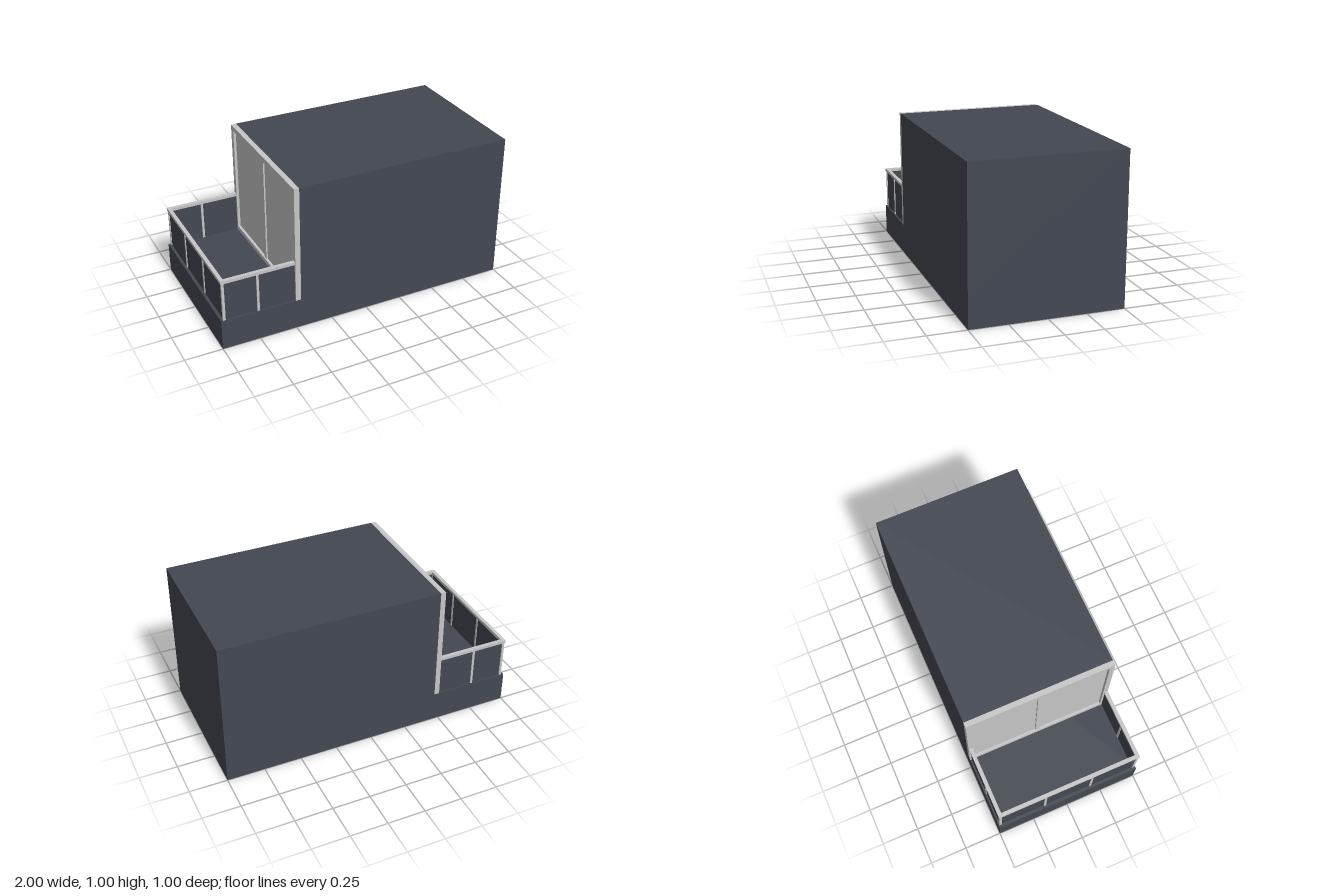
import * as THREE from 'three';

export function createModel() {
  const model = new THREE.Group();
  model.name = 'houseWithBalcony';
  const dark = new THREE.MeshStandardMaterial({ name: 'darkSlate', color: 0x434851 });
  const light = new THREE.MeshStandardMaterial({ name: 'lightGrey', color: 0xc6c6c6 });

  // Box given by its lower and upper limits on each axis
  function box(parent, name, material, [x0, x1], [y0, y1], [z0, z1]) {
    const mesh = new THREE.Mesh(new THREE.BoxGeometry(x1 - x0, y1 - y0, z1 - z0), material);
    mesh.position.set((x0 + x1) / 2, (y0 + y1) / 2, (z0 + z1) / 2);
    mesh.name = name;
    parent.add(mesh);
  }
  function group(name) {
    const g = new THREE.Group();
    g.name = name;
    model.add(g);
    return g;
  }

  const floor = 0.205;
  // Base slab and main block
  box(model, 'baseSlab', dark, [-1, 1], [0, floor], [-0.5, 0.5]);
  box(model, 'mainBlock', dark, [-0.465, 1], [floor, 1], [-0.5, 0.5]);

  // Door wall: outer frame, two recessed panels and a centre bar
  const door = group('doorWall');
  const depth = [-0.5, -0.465];
  for (const s of [-1, 1]) {
    const side = s < 0 ? [-0.5, -0.465] : [0.465, 0.5];
    box(door, 'doorPost', light, depth, [floor, 1], side);
    const panel = s < 0 ? [-0.465, -0.015] : [0.015, 0.465];
    box(door, 'doorPanel', light, [-0.482, -0.465], [floor + 0.03, 0.965], panel);
  }
  box(door, 'doorHeader', light, depth, [0.965, 1], [-0.465, 0.465]);
  box(door, 'doorSill', light, depth, [floor, floor + 0.03], [-0.465, 0.465]);
  box(door, 'doorCentreBar', light, [-0.492, -0.465], [floor + 0.03, 0.965], [-0.015, 0.015]);

  // Balcony railing: posts, dark infill panels and a top rail on three sides
  const railing = group('balconyRailing');
  const railY = [0.47, 0.49];
  const postY = [floor, 0.47];
  box(railing, 'endTopRail', light, [-0.99, -0.965], railY, [-0.497, 0.497]);
  box(railing, 'endPanel', dark, [-0.98, -0.972], postY, [-0.485, 0.485]);
  for (const z of [-0.165, 0.165]) {
    box(railing, 'endPost', light, [-0.985, -0.968], postY, [z - 0.008, z + 0.008]);
  }
  for (const s of [-1, 1]) {
    const span = (a, b) => (s < 0 ? [-b, -a] : [a, b]);
    box(railing, 'sideTopRail', light, [-0.965, -0.5], railY, span(0.472, 0.497));
    box(railing, 'sidePanel', dark, [-0.975, -0.5], postY, span(0.48, 0.488));
    box(railing, 'cornerPost', light, [-0.985, -0.968], postY, span(0.476, 0.493));
    box(railing, 'sidePost', light, [-0.758, -0.742], postY, span(0.476, 0.493));
  }
  return model;
}
